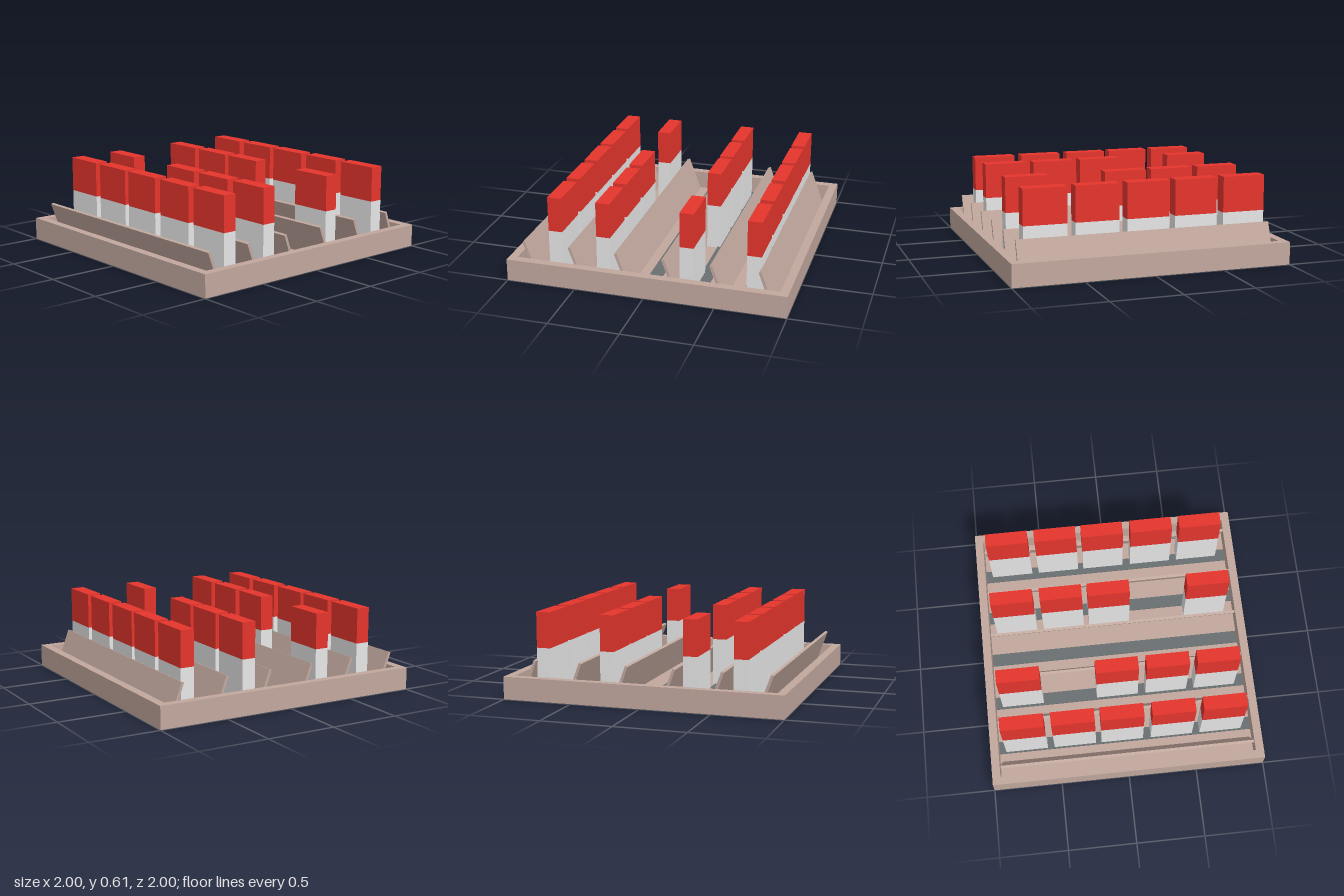
import * as THREE from 'three';

const mat = (name, color) => {
  const m = new THREE.MeshStandardMaterial({ color });
  m.name = name;
  return m;
};

export function createModel() {
  const group = new THREE.Group();
  const brown = mat('taupe', 0xc2a89e);
  const slate = mat('slate grey', 0x6a7072);
  const grey = mat('light grey', 0xe7e7e7);
  const red = mat('red', 0xe6352d);

  const add = (name, geometry, material, x, y, z) => {
    const mesh = new THREE.Mesh(geometry, material);
    mesh.name = name;
    mesh.position.set(x, y, z);
    group.add(mesh);
    return mesh;
  };

  // Square tray rim
  const outer = new THREE.Shape([[-1, -1], [1, -1], [1, 1], [-1, 1]].map(p => new THREE.Vector2(...p)));
  const e = 0.94;
  outer.holes.push(new THREE.Path([[-e, -e], [-e, e], [e, e], [e, -e]].map(p => new THREE.Vector2(...p))));
  const rim = new THREE.ExtrudeGeometry(outer, { depth: 0.161, bevelEnabled: false });
  rim.rotateX(-Math.PI / 2);
  add('trayRim', rim, brown, 0, 0.004, 0);

  // Thin tray floor, pierced by the parts standing in it
  add('floor', new THREE.BoxGeometry(2 * e, 0.006, 2 * e), brown, 0, 0.025, 0);

  // Grey strips across the tray
  const strip = new THREE.BoxGeometry(2 * e, 0.022, 0.093);
  for (let i = -2; i <= 2; i++) add('floorStrip', strip, slate, 0, 0.025, i * 0.3465);

  // Leaning slats
  const slat = new THREE.BoxGeometry(1.845, 0.287, 0.02);
  for (let i = 0; i < 6; i++) {
    add('slat', slat, brown, -0.002, 0.1415, 0.85 - i * 0.3385).rotation.x = THREE.MathUtils.degToRad(20);
  }

  // Rows of two-tone blocks, two rows with a gap
  const columns = [-0.735, -0.374, -0.023, 0.345, 0.711];
  const rows = [
    { z: -0.741, gap: -1 },
    { z: -0.27, gap: 3 },
    { z: 0.327, gap: 1 },
    { z: 0.678, gap: -1 },
  ];
  const base = new THREE.BoxGeometry(0.31, 0.357, 0.1);
  const cap = new THREE.BoxGeometry(0.31, 0.253, 0.1);
  for (const { z, gap } of rows) {
    columns.forEach((x, i) => {
      if (i === gap) return;
      add('blockBase', base, grey, x, 0.1835, z);
      add('blockCap', cap, red, x, 0.4885, z);
    });
  }
  return group;
}
